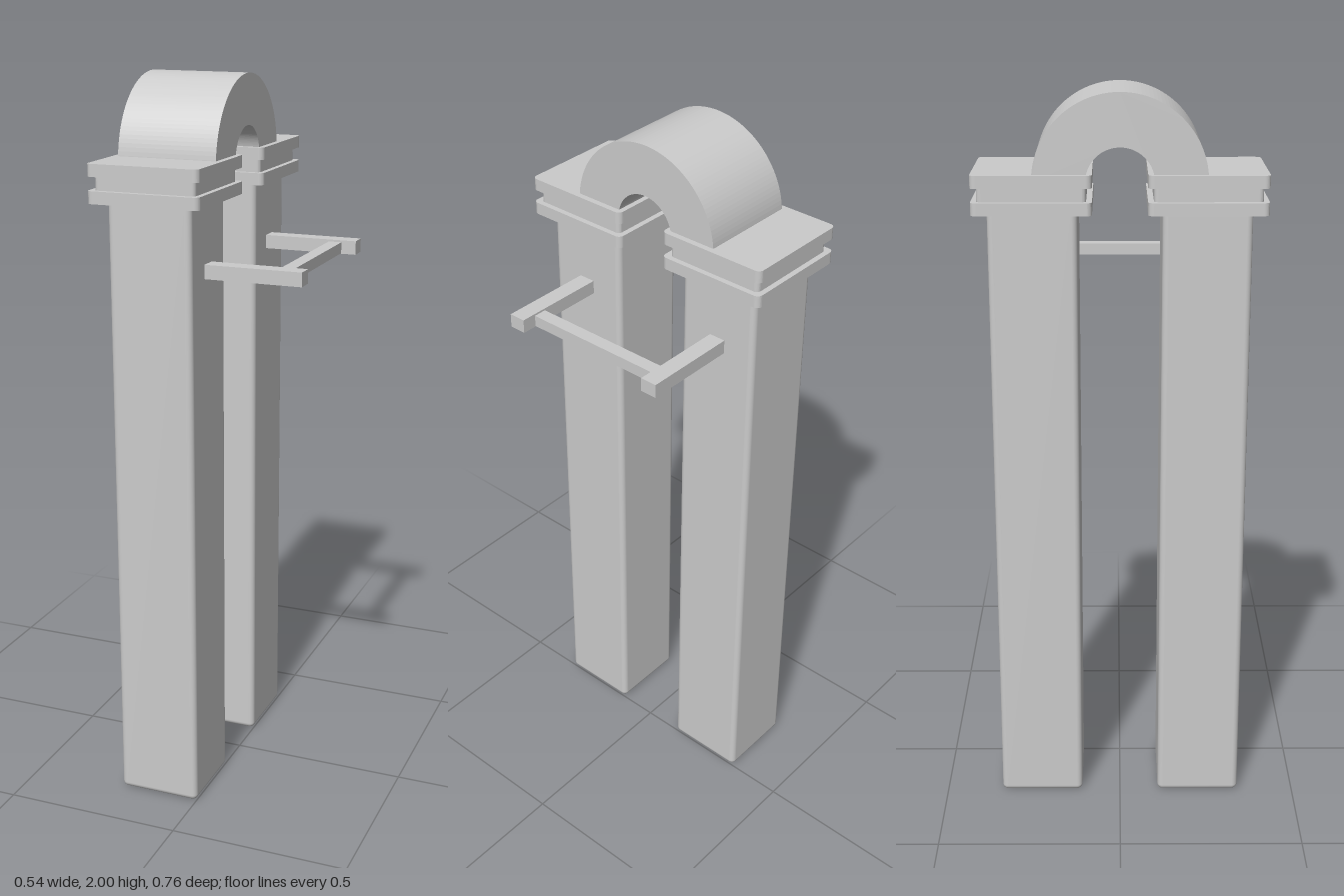
import * as THREE from 'three';
import { RoundedBoxGeometry } from 'three/addons/geometries/RoundedBoxGeometry.js';

const AXIS_X = -0.115; // shared centre line of posts, capitals and arch
const POST_Z = 0.225;

export function createModel() {
  const model = new THREE.Group();
  const material = new THREE.MeshStandardMaterial({ color: 0xcccccc });

  function add(name, geometry, x, y, z) {
    const mesh = new THREE.Mesh(geometry, material);
    mesh.name = name;
    mesh.position.set(x, y, z);
    model.add(mesh);
    return mesh;
  }

  // Square slab with rounded vertical corners, rising from y = 0
  function slab(size, height, r) {
    const h = size / 2, c = h - r;
    const s = new THREE.Shape();
    s.absarc(c, c, r, 0, Math.PI / 2);
    s.absarc(-c, c, r, Math.PI / 2, Math.PI);
    s.absarc(-c, -c, r, Math.PI, Math.PI * 1.5);
    s.absarc(c, -c, r, Math.PI * 1.5, Math.PI * 2);
    s.closePath();
    return new THREE.ExtrudeGeometry(s, { depth: height, bevelEnabled: false, curveSegments: 5 })
      .rotateX(-Math.PI / 2);
  }

  for (const side of [1, -1]) {
    const end = side > 0 ? 'front' : 'back';
    const z = side * POST_Z;

    // Tall post with softened edges
    add(end + 'Post', new RoundedBoxGeometry(0.232, 1.71, 0.232, 4, 0.016), AXIS_X, 0.855, z);

    // Stepped capital: wide, narrow, wide
    add(end + 'CapitalLower', slab(0.308, 0.033, 0.015), AXIS_X, 1.694, z);
    add(end + 'CapitalNeck', slab(0.278, 0.036, 0.012), AXIS_X, 1.727, z);
    add(end + 'CapitalUpper', slab(0.308, 0.033, 0.015), AXIS_X, 1.763, z);

    // Arm reaching out of the post
    add(end + 'Arm', new THREE.BoxGeometry(0.278, 0.038, 0.047), 0.129, 1.514, side * 0.2265);
  }

  // Bar joining the two arms
  add('crossbar', new THREE.BoxGeometry(0.037, 0.031, 0.42), 0.2075, 1.512, 0);

  // Half-ring arch spanning the capitals
  const ring = new THREE.Shape();
  ring.absarc(0, 0, 0.224, 0, Math.PI, false);
  ring.absarc(0, 0, 0.088, Math.PI, 0, true);
  ring.closePath();
  const arch = new THREE.ExtrudeGeometry(ring, { depth: 0.276, bevelEnabled: false, curveSegments: 32 })
    .translate(0, 0, -0.138)
    .rotateY(Math.PI / 2);
  add('arch', arch, AXIS_X, 1.776, 0);

  return model;
}
